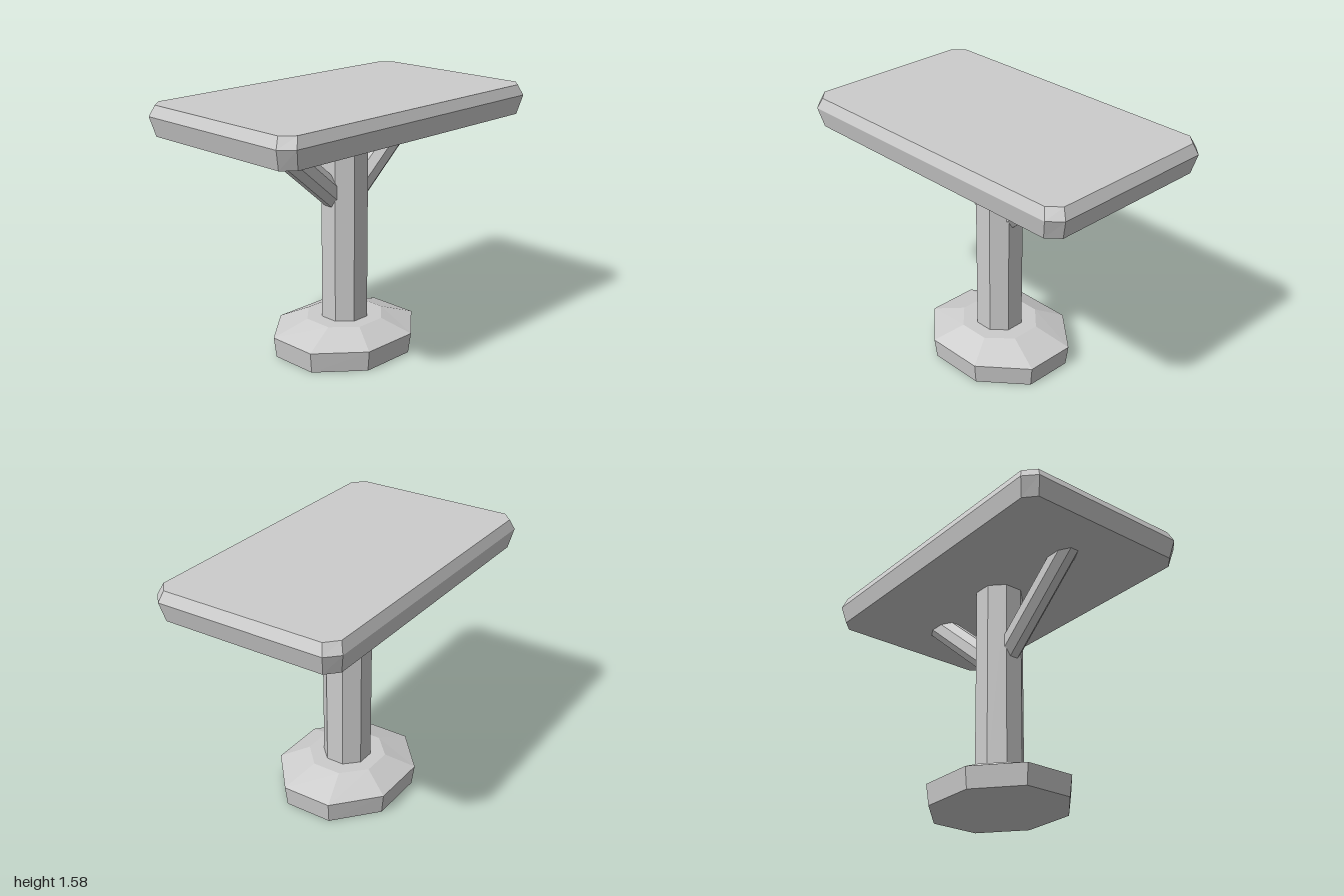
import * as THREE from 'three';

// Stack of eight-sided rings: [y, half width x, half depth z, flat half x, flat half z]
function loft(rings) {
  const corners = rings.map(([y, hx, hz, fx, fz]) => [
    [hx, y, fz], [hx, y, -fz], [fx, y, -hz], [-fx, y, -hz],
    [-hx, y, -fz], [-hx, y, fz], [-fx, y, hz], [fx, y, hz],
  ]);
  const pos = [];
  const tri = (a, b, c) => pos.push(...a, ...b, ...c);
  for (let r = 0; r + 1 < corners.length; r++) {
    const lo = corners[r], hi = corners[r + 1];
    for (let i = 0; i < 8; i++) {
      const j = (i + 1) % 8;
      tri(lo[i], lo[j], hi[j]);
      tri(lo[i], hi[j], hi[i]);
    }
  }
  const bottom = corners[0], top = corners[corners.length - 1];
  for (let i = 1; i < 7; i++) {
    tri(top[0], top[i], top[i + 1]);
    tri(bottom[0], bottom[i + 1], bottom[i]);
  }
  const geo = new THREE.BufferGeometry();
  geo.setAttribute('position', new THREE.Float32BufferAttribute(pos, 3));
  geo.computeVertexNormals();
  return geo;
}

// Regular or stretched octagon ring
const K = Math.SQRT2 - 1;
const octagon = (y, hx, hz = hx) => [y, hx, hz, hx * K, hz * K];

export function createModel() {
  const model = new THREE.Group();
  model.name = 'table';
  const grey = new THREE.MeshStandardMaterial({ color: 0xcccccc, flatShading: true });
  grey.name = 'plain grey';

  const add = (name, geo) => {
    const mesh = new THREE.Mesh(geo, grey);
    mesh.name = name;
    model.add(mesh);
    return mesh;
  };

  // Foot with a sloping upper face
  add('base', loft([
    octagon(0, 0.43, 0.37),
    octagon(0.127, 0.445, 0.385),
    octagon(0.207, 0.23, 0.22),
  ]));

  // Central column
  add('post', loft([octagon(0.18, 0.137), octagon(1.42, 0.137)]));

  // Bevelled top with cut corners
  add('tableTop', loft([
    [1.403, 0.97, 0.568, 0.9, 0.503],
    [1.518, 1.0, 0.593, 0.927, 0.522],
    [1.581, 0.97, 0.568, 0.9, 0.503],
  ]));

  // Slanted braces, sunk into the post and the top
  const up = new THREE.Vector3(0, 1, 0);
  for (const side of [-1, 1]) {
    const start = new THREE.Vector3(side * 0.06, 0.957, 0);
    const end = new THREE.Vector3(side * 0.665, 1.475, 0);
    const dir = end.clone().sub(start);
    const brace = add(side > 0 ? 'leftBrace' : 'rightBrace',
      loft([octagon(0, 0.075, 0.066), octagon(dir.length(), 0.075, 0.066)]));
    brace.position.copy(start);
    brace.quaternion.setFromUnitVectors(up, dir.normalize());
  }
  return model;
}
